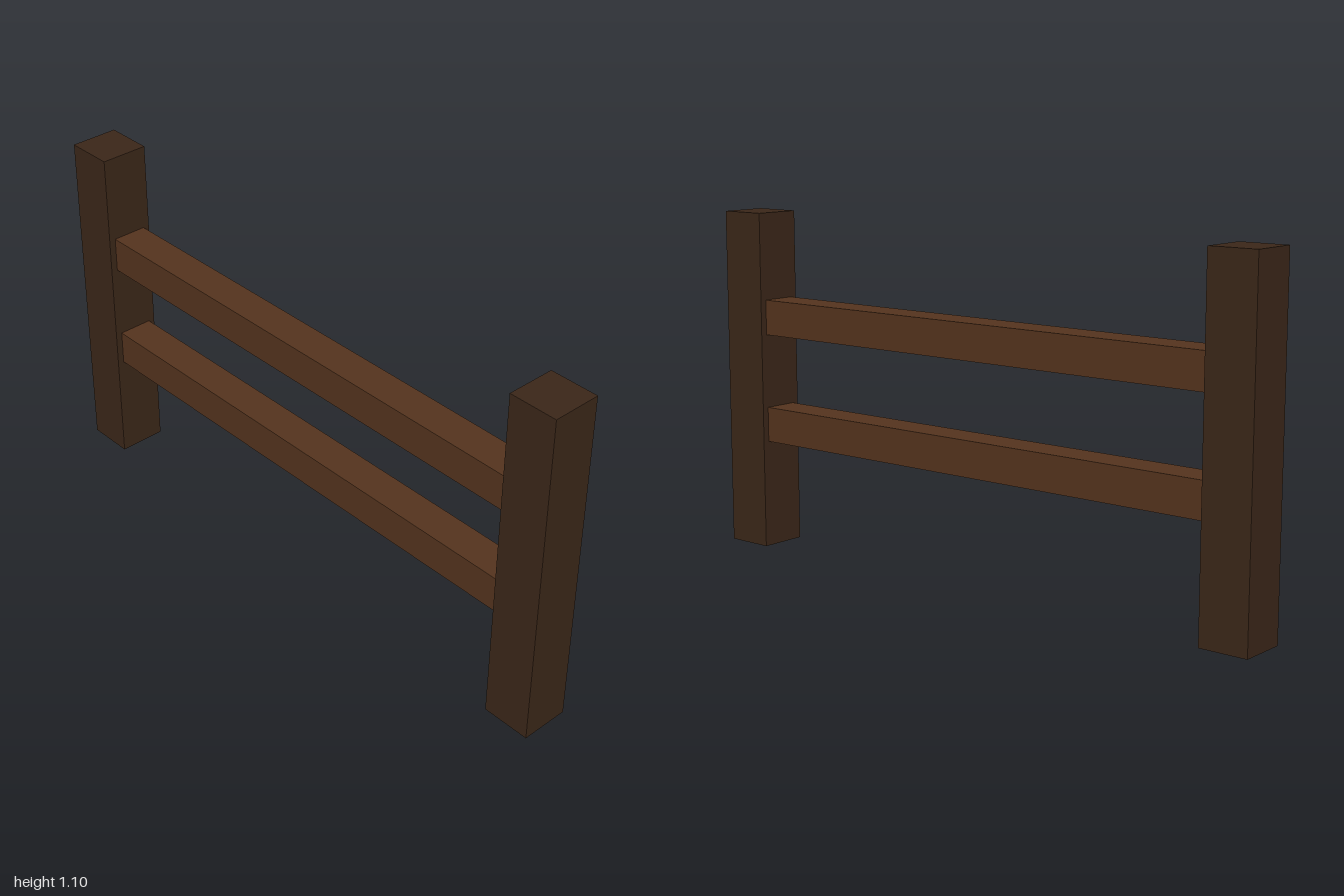
import * as THREE from 'three';

export function createModel() {
  const group = new THREE.Group();
  const postWood = new THREE.MeshStandardMaterial({ color: 0x3a2618 });
  const railWood = new THREE.MeshStandardMaterial({ color: 0x54331d });

  const addBox = (name, size, position, material) => {
    const mesh = new THREE.Mesh(new THREE.BoxGeometry(...size), material);
    mesh.name = name;
    mesh.position.set(...position);
    group.add(mesh);
  };

  const postWidth = 0.156, postHeight = 1.095;
  const postZ = 1 - postWidth / 2;

  // Square posts at both ends
  for (const [name, side] of [['frontPost', 1], ['backPost', -1]]) {
    addBox(name, [postWidth, postHeight, postWidth], [0, postHeight / 2, side * postZ], postWood);
  }

  // Horizontal rails, let into the posts up to their centres
  for (const [name, y] of [['lowerRail', 0.406], ['upperRail', 0.758]]) {
    addBox(name, [0.113, 0.113, 2 * postZ], [0, y, 0], railWood);
  }

  return group;
}
